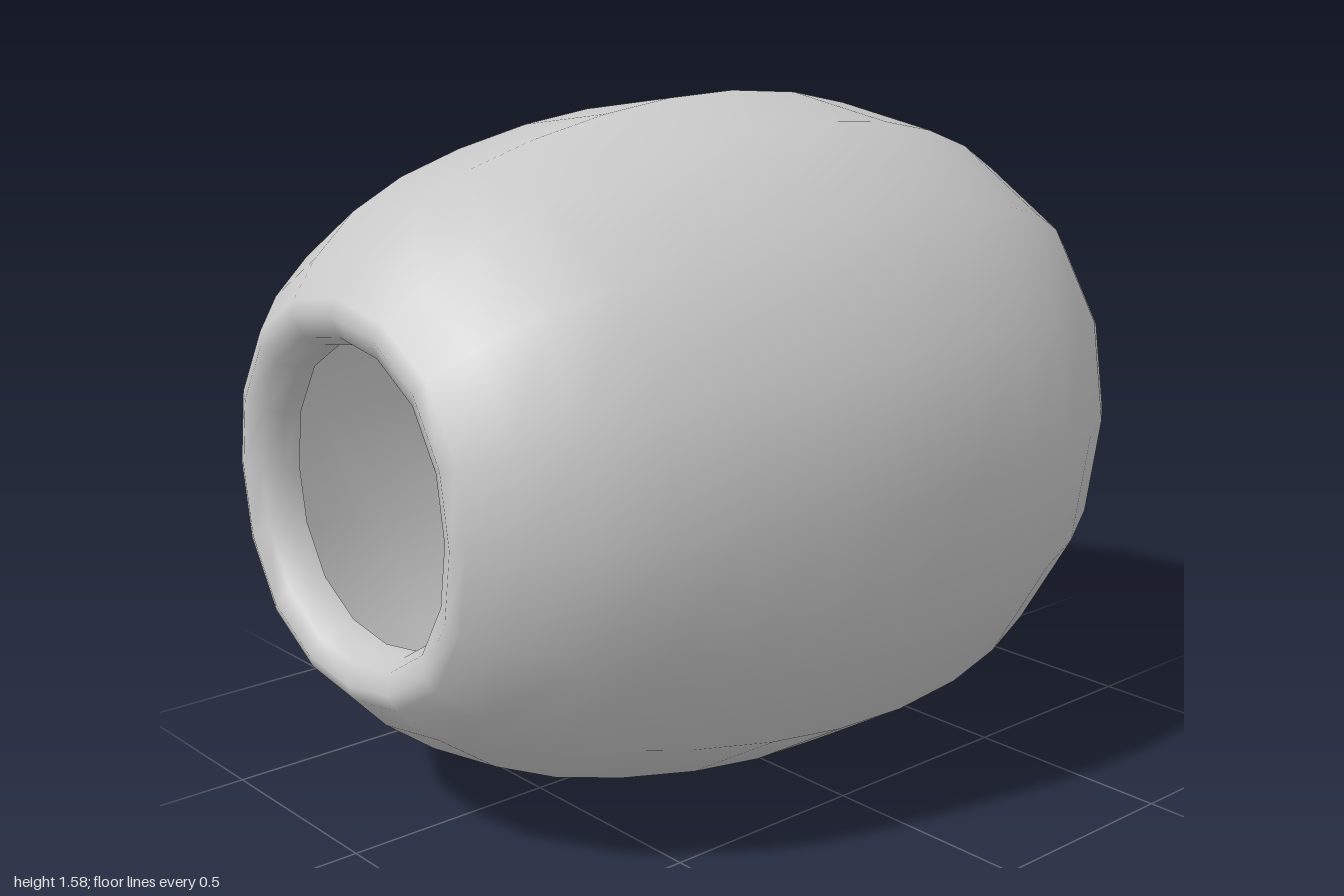
import * as THREE from 'three';

const SIDES = 16;
const CENTER_Y = 0.794;

// Revolves [axial position, radius] pairs around the x axis,
// swelling the diagonals for a slightly squared cross-section
function revolve(name, profile, material) {
  const points = profile.map(([x, r]) => new THREE.Vector2(r, x));
  const geometry = new THREE.LatheGeometry(points, SIDES);
  geometry.rotateZ(-Math.PI / 2);
  const pos = geometry.attributes.position;
  for (let i = 0; i < pos.count; i++) {
    const angle = Math.atan2(pos.getZ(i), pos.getY(i));
    const swell = 1 + 0.034 * Math.sin(2 * angle) ** 2;
    pos.setY(i, pos.getY(i) * swell);
    pos.setZ(i, pos.getZ(i) * swell);
  }
  const mesh = new THREE.Mesh(geometry, material);
  mesh.name = name;
  return mesh;
}

export function createModel() {
  const grey = new THREE.MeshStandardMaterial({ color: 0xc8c8c8, side: THREE.DoubleSide });
  grey.name = 'grey';

  const bead = new THREE.Group();
  bead.name = 'bead';

  // Thin hollow barrel whose ends curl inwards into rounded lips
  bead.add(revolve('shell', [
    [-0.9, 0.33], [-0.94, 0.333], [-0.98, 0.355], [-1, 0.4], [-0.985, 0.435],
    [-0.91, 0.515], [-0.79, 0.605], [-0.65, 0.668], [-0.48, 0.718],
    [-0.28, 0.76], [-0.09, 0.784], [0.1, 0.79], [0.3, 0.774],
    [0.47, 0.738], [0.62, 0.685], [0.76, 0.61], [0.88, 0.52],
    [0.965, 0.432], [1, 0.385], [0.98, 0.35], [0.94, 0.333], [0.9, 0.33],
  ], grey));

  bead.position.y = CENTER_Y;
  const model = new THREE.Group();
  model.name = 'beadModel';
  model.add(bead);
  return model;
}
